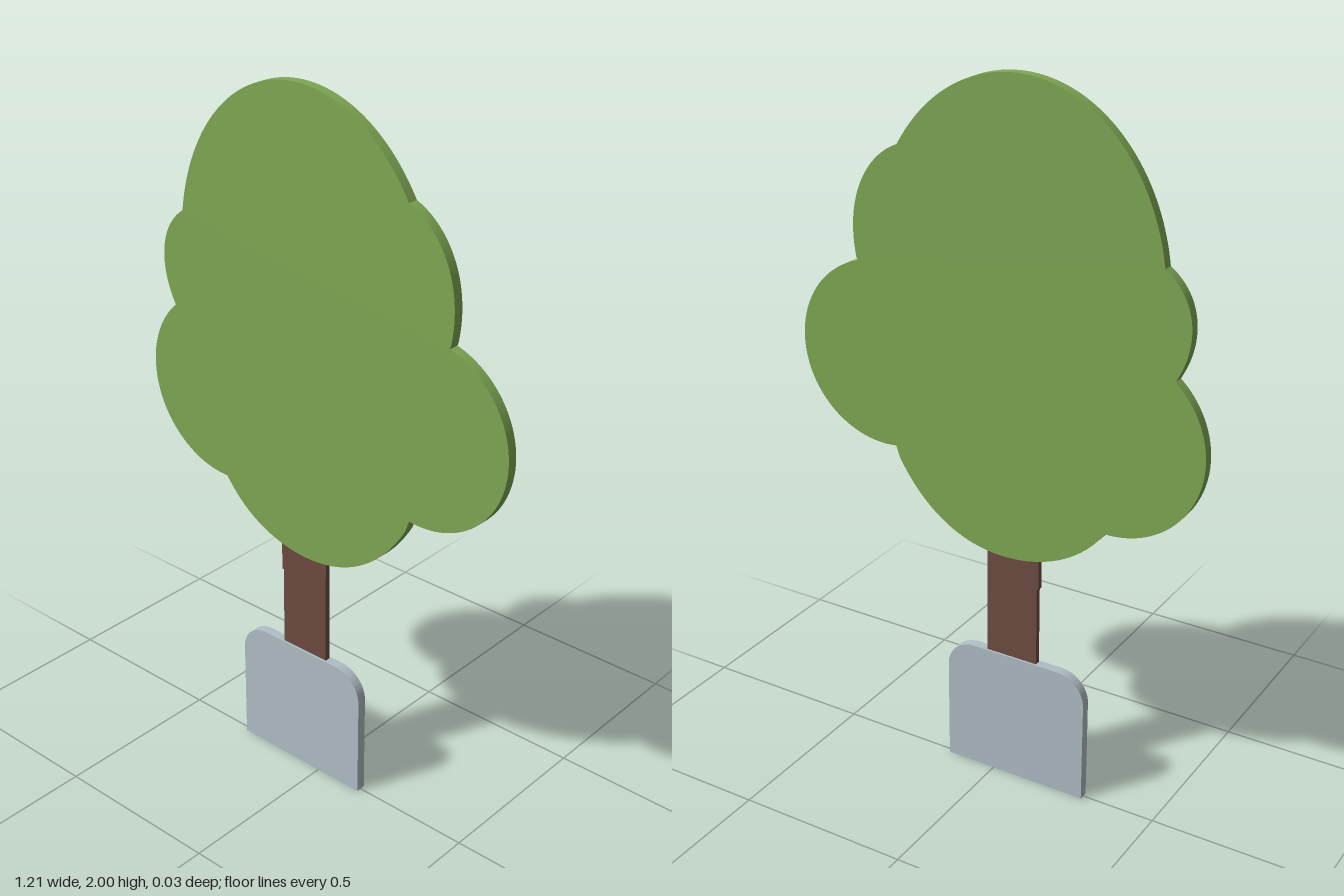
import * as THREE from 'three';
import { toCreasedNormals } from 'three/addons/utils/BufferGeometryUtils.js';

// Flat slab cut from an outline, centred on z = 0
function slab(name, shape, depth, color) {
  const geo = new THREE.ExtrudeGeometry(shape, { depth, bevelEnabled: false, curveSegments: 32 });
  geo.translate(0, 0, -depth / 2);
  const mesh = new THREE.Mesh(toCreasedNormals(geo, 0.5), new THREE.MeshStandardMaterial({ color }));
  mesh.name = name;
  return mesh;
}

// Leafy outline, traced clockwise from the left shoulder
function canopyShape() {
  const s = new THREE.Shape();
  s.moveTo(-0.475, 1.585);
  // Crown
  s.bezierCurveTo(-0.44, 1.83, -0.27, 2, -0.07, 2);
  s.bezierCurveTo(0.07, 2, 0.2, 1.92, 0.283, 1.78);
  // Upper bump on the +x side
  s.bezierCurveTo(0.38, 1.74, 0.45, 1.62, 0.42, 1.46);
  // Large lobe on the +x side
  s.absarc(0.342, 1.2, 0.261, 1.28, -1.7, true);
  // Rounded underside
  s.lineTo(0.298, 0.91);
  s.bezierCurveTo(0.22, 0.77, 0.1, 0.695, -0.035, 0.695);
  s.bezierCurveTo(-0.16, 0.695, -0.27, 0.75, -0.336, 0.845);
  // Large lobe on the -x side
  s.absarc(-0.343, 1.108, 0.263, -1.57, -4.0, true);
  // Small bump on the -x side
  s.bezierCurveTo(-0.57, 1.4, -0.57, 1.52, -0.475, 1.585);
  return s;
}

// Trunk, widening very slightly towards the leaves
function trunkShape() {
  return new THREE.Shape([
    [-0.133, 0.3], [0.022, 0.3], [0.022, 0.95], [-0.138, 0.95], [-0.138, 0.62], [-0.133, 0.62],
  ].map(([x, y]) => new THREE.Vector2(x, y)));
}

// Foot plate with rounded upper corners
function baseShape() {
  const l = -0.285, r = 0.148, h = 0.385, c = 0.085;
  const s = new THREE.Shape();
  s.moveTo(l, 0);
  s.lineTo(r, 0);
  s.absarc(r - c, h - c, c, 0, Math.PI / 2, false);
  s.absarc(l + c, h - c, c, Math.PI / 2, Math.PI, false);
  s.lineTo(l, 0);
  return s;
}

export function createModel() {
  const tree = new THREE.Group();
  tree.name = 'flatTree';
  tree.add(
    slab('canopy', canopyShape(), 0.029, 0x7fa853),
    slab('trunk', trunkShape(), 0.016, 0x6d4c41),
    slab('base', baseShape(), 0.028, 0xb0bec5),
  );
  return tree;
}
